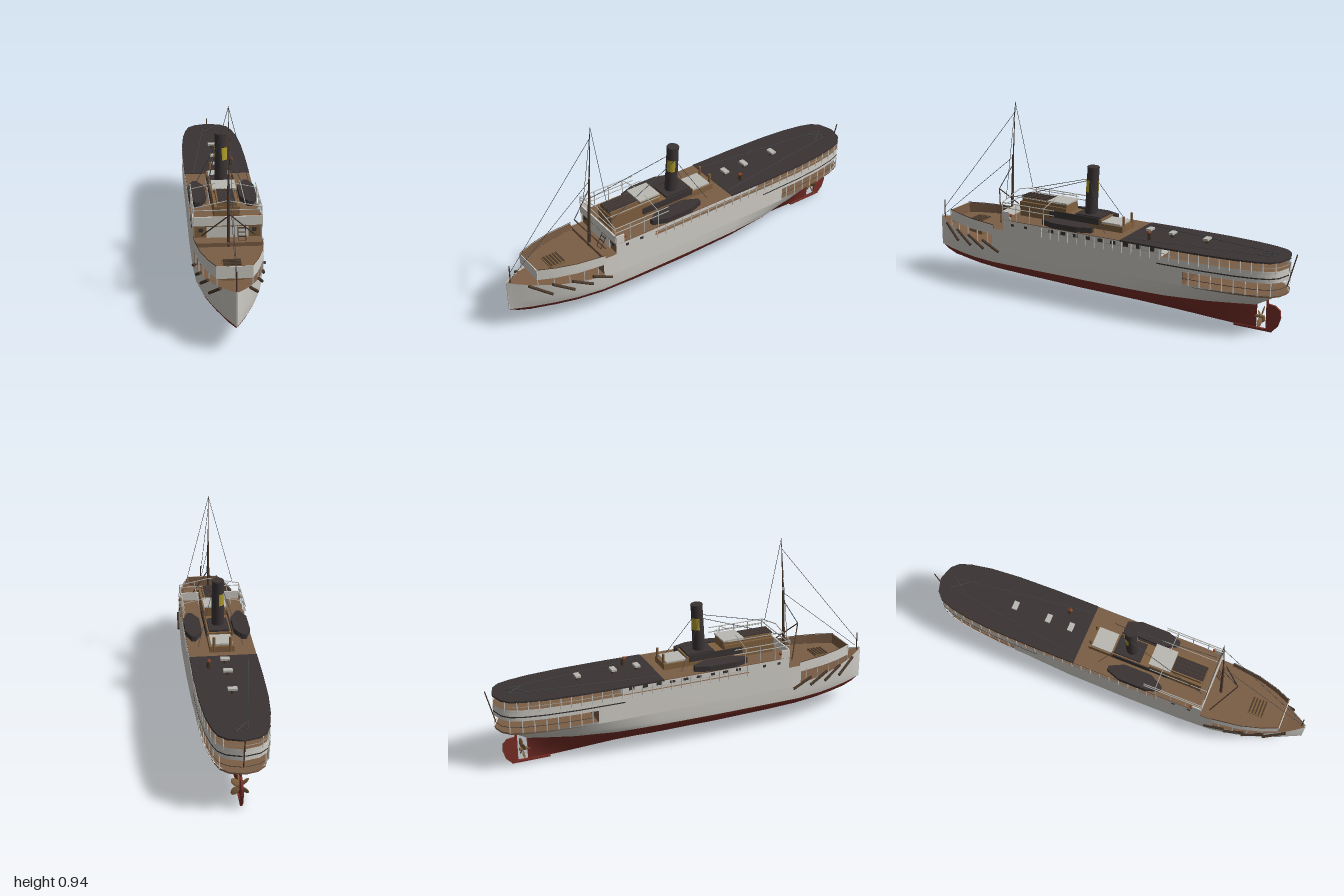
import * as THREE from 'three';

const mat = (name, color) => Object.assign(new THREE.MeshStandardMaterial({ color, side: THREE.DoubleSide }), { name });
const M = {
  white: mat('hull white', 0xd2cfc8), red: mat('bottom red', 0x7a2f28), deck: mat('deck brown', 0x7b5d45),
  wood: mat('varnished wood', 0x80603f), dark: mat('charcoal', 0x3a3334), timber: mat('dark timber', 0x4c3b2e),
  yellow: mat('funnel yellow', 0xb09c2c), wire: mat('rigging grey', 0x45464a), grey: mat('pale grey', 0xb9b8b2),
  orange: mat('vent orange', 0x9c4526),
};

// Half breadth of the deck along the length
const PLAN = [[1, .003], [.96, .032], [.9, .068], [.8, .11], [.7, .138], [.57, .155], [.4, .16], [-.4, .16],
  [-.6, .155], [-.75, .143], [-.85, .125], [-.91, .105], [-.945, .07], [-.965, .002]];
function beam(z) {
  for (let i = 1; i < PLAN.length; i++) {
    const a = PLAN[i - 1], b = PLAN[i];
    if (z >= b[0]) return a[1] + (b[1] - a[1]) * Math.min(1, (a[0] - z) / (a[0] - b[0]));
  }
  return .002;
}
const foreTop = z => .215 + .07 * Math.pow(Math.max(0, (z - .5) / .5), 1.4);
const samples = (z0, z1) => [...new Set([z0, ...PLAN.map(p => p[0]).filter(z => z < z0 && z > z1), z1])];

export function createModel() {
  const ship = new THREE.Group();
  ship.name = 'steamship';
  const add = (name, geo, m, parent = ship) => {
    const mesh = new THREE.Mesh(geo, m);
    mesh.name = name;
    parent.add(mesh);
    return mesh;
  };
  const box = (name, m, x0, x1, y0, y1, z0, z1) => {
    const b = add(name, new THREE.BoxGeometry(x1 - x0, y1 - y0, z1 - z0), m);
    b.position.set((x0 + x1) / 2, (y0 + y1) / 2, (z0 + z1) / 2);
  };
  const rod = (name, m, a, b, r = .0012, sides = 5, r2 = r) => {
    const p = new THREE.Vector3(...a), q = new THREE.Vector3(...b), d = q.clone().sub(p);
    const mesh = add(name, new THREE.CylinderGeometry(r2, r, d.length(), sides), m);
    mesh.position.copy(p).add(q).multiplyScalar(.5);
    mesh.quaternion.setFromUnitVectors(new THREE.Vector3(0, 1, 0), d.normalize());
  };
  // Surface through equal-length rows of points
  const loft = (name, m, rows) => {
    const n = rows[0].length, idx = [];
    for (let i = 0; i < rows.length - 1; i++) for (let j = 0; j < n - 1; j++) {
      const a = i * n + j;
      idx.push(a, a + n, a + 1, a + 1, a + n, a + n + 1);
    }
    const g = new THREE.BufferGeometry();
    g.setAttribute('position', new THREE.Float32BufferAttribute(rows.flat(2), 3));
    g.setIndex(idx);
    g.computeVertexNormals();
    add(name, g, m);
  };
  // Side plating that follows the deck outline on both sides
  const ribbon = (name, m, z0, z1, y0, y1, off = 0) => {
    const f = v => (typeof v === 'function' ? v : () => v);
    for (const s of [1, -1]) loft(name, m, samples(z0, z1).map(z => {
      const x = s * (beam(z) + off);
      return s > 0 ? [[x, f(y0)(z), z], [x, f(y1)(z), z]] : [[x, f(y1)(z), z], [x, f(y0)(z), z]];
    }));
  };
  // Flat slab from plan points [x, z] with its top at y
  const slab = (name, m, pts, y, t) => {
    const shape = new THREE.Shape(pts.map(([x, z]) => new THREE.Vector2(x, -z)));
    const g = new THREE.ExtrudeGeometry(shape, { depth: t, bevelEnabled: false }).rotateX(-Math.PI / 2);
    add(name, g, m).position.y = y - t;
  };
  const deck = (name, m, z0, z1, y, t = .006, off = 0) => {
    const zs = samples(z0, z1);
    slab(name, m, [...zs.map(z => [beam(z) + off, z]), ...zs.slice().reverse().map(z => [-beam(z) - off, z])], y, t);
  };

  // Hull stations: z, waterline half breadth, waterline y, bilge control x, bilge control y, keel y
  const ST = [[1, .001, .125, .001, .122, .12], [.96, .02, .125, .012, .107, .1], [.9, .05, .127, .035, .095, .078],
    [.8, .09, .13, .075, .088, .072], [.7, .122, .133, .105, .083, .067], [.57, .148, .137, .13, .08, .061],
    [.4, .156, .14, .142, .078, .054], [.1, .157, .14, .142, .074, .04], [-.2, .153, .14, .12, .07, .03],
    [-.4, .138, .137, .075, .064, .022], [-.6, .092, .133, .03, .06, .014], [-.72, .047, .13, .01, .055, .01],
    [-.81, .01, .128, .006, .06, .008], [-.87, .005, .16, 0, 0, 0], [-.92, .005, .192, 0, 0, 0], [-.965, .001, .217, 0, 0, 0]];
  const steps = [0, .17, .34, .5, .67, .84, 1];
  for (const s of [1, -1]) {
    const order = r => (s > 0 ? r : r.reverse());
    loft('hullBottom', M.red, ST.slice(0, 13).map(([z, w, yw, cx, cy, ky]) => order(steps.map(t => {
      const u = 1 - t;
      return [s * (2 * u * t * cx + t * t * w), u * u * ky + 2 * u * t * cy + t * t * yw, z - (z > .99 ? u * .015 : 0)];
    }))));
    loft('hullSide', M.white, ST.map(([z, w, yw]) => order(steps.map(t => {
      const top = z > .56 ? foreTop(z) : .22;
      return [s * (w + (beam(z) - w) * Math.pow(t, z < -.5 ? .75 : .65)), yw + (top - yw) * t, z];
    }))));
  }
  box('stemBar', M.white, -.003, .003, .125, .285, .994, 1);
  ribbon('midshipPlating', M.white, .57, -.5, .21, .32);
  ribbon('galleryUpperStrake', M.white, -.5, -.965, .278, .32);
  ribbon('rubbingStrake', M.dark, -.37, -.965, .297, .303, .004);

  // Rudder, shoe and propeller
  box('keelShoe', M.red, -.006, .006, .003, .014, -.89, -.7);
  const blade = new THREE.Shape([[.862, .004], [.89, .006], [.918, .035], [.932, .08], [.928, .115], [.905, .135], [.862, .14]]
    .map(p => new THREE.Vector2(...p)));
  add('rudder', new THREE.ExtrudeGeometry(blade, { depth: .01, bevelEnabled: false }).rotateY(Math.PI / 2), M.red).position.x = -.005;
  rod('rudderStock', M.red, [0, .01, -.864], [0, .18, -.864], .006);
  rod('propellerShaft', M.wood, [0, .07, -.7], [0, .07, -.85], .008, 8);
  for (let i = 0; i < 4; i++) {
    const a = Math.PI / 4 + i * Math.PI / 2;
    const p = add('propellerBlade', new THREE.SphereGeometry(.025, 10, 6).scale(.6, 1, .15), M.wood);
    p.position.set(Math.sin(a) * .03, .07 + Math.cos(a) * .03, -.835);
    p.rotation.set(0, .5, -a, 'ZYX');
  }

  // Decks: the lower foredeck follows the rise of the bow, the upper one lies inside the band
  loft('lowerForedeck', M.deck, samples(.992, .5).map(z => [-1, 0, 1].map(k => [k * (beam(z) - .002), foreTop(z) - .006, z])));
  deck('upperForedeck', M.deck, .878, .5, .298, .008, -.003);
  deck('galleryDeck', M.deck, -.48, -.96, .215, .008, -.006);
  deck('promenadeDeck', M.deck, .56, -.96, .318, .008, -.003);
  deck('boatDeck', M.deck, .5, -.17, .378);
  deck('aftAwning', M.dark, -.17, -.964, .38, .008, .001);
  box('foreBulkhead', M.deck, -.154, .154, .21, .318, .55, .558);
  box('aftBulkhead', M.deck, -.155, .155, .21, .315, -.5, -.492);

  // Forecastle band with its brown lining, posts and the open bow fittings
  const bandLow = z => .288 + .02 * (z - .57), bandTop = z => .338 + .04 * (z - .57);
  ribbon('bowBand', M.white, .88, .56, bandLow, bandTop, .002);
  ribbon('bowBandLining', M.deck, .878, .56, bandLow, bandTop, -.002);
  ribbon('bowBandCap', M.timber, .88, .56, bandTop, z => bandTop(z) + .003, .001);
  box('bowBandFront', M.white, -.08, .08, .294, .35, .878, .882);
  box('bowBandFrontLining', M.deck, -.078, .078, .294, .35, .874, .877);
  for (const s of [1, -1]) {
    for (let z = .6; z < .9; z += .07) rod('bandPost', M.grey, [s * beam(z), foreTop(z), z], [s * beam(z), .3, z], .003);
    // Timber fenders lying along the bow
    for (const z of [.92, .82, .73, .63]) {
      const e = z - .1;
      rod('fenderLog', M.timber, [s * (beam(z) + .008), .268 - (.92 - z) * .07, z], [s * (beam(e) + .003), .2, e], .007, 8);
    }
  }
  box('hatchTrunk', M.wood, -.045, .045, .215, .304, .71, .79);
  for (let i = 0; i < 5; i++) box('hatchSlat', M.timber, -.04, .04, .304, .308, .712 + i * .016, .72 + i * .016);
  rod('jackstaff', M.timber, [0, .25, .98], [0, .37, .978], .003);

  // Promenade: house, windows, open rail posts
  box('promenadeHouse', M.white, -.118, .118, .318, .372, -.37, .49);
  box('houseFront', M.wood, -.15, .15, .318, .372, .488, .494);
  box('houseFrontPanel', M.white, -.095, .095, .318, .372, .493, .498);
  ribbon('promenadeScreen', M.white, .5, .28, .318, .372);
  ribbon('promenadeRail', M.white, .28, -.963, .318, .334, -.001);
  ribbon('promenadeHandrail', M.grey, .28, -.963, .349, .352);
  ribbon('galleryRail', M.wire, -.5, -.963, .245, .248);
  ribbon('awningEdge', M.white, .5, -.17, .37, .376, .002);
  ribbon('awningHem', M.dark, -.17, -.964, .372, .38, .002);
  for (const s of [1, -1]) {
    for (let z = .27; z > -.95; z -= .05) rod('promenadePost', M.white, [s * beam(z), .318, z], [s * beam(z), .374, z], .0028);
    for (let z = -.53; z > -.95; z -= .055) rod('galleryPost', M.white, [s * beam(z), .215, z], [s * beam(z), .282, z], .0028);
    for (let z = .24; z > -.33; z -= .07) box('houseWindow', M.dark, s * .1195 - .0015, s * .1195 + .0015, .336, .362, z - .013, z + .013);
    for (const z of [.44, .36]) box('screenWindow', M.dark, s * .161 - .0015, s * .161 + .0015, .35, .362, z - .008, z + .008);
    box('frontWindow', M.dark, s * .122 - .01, s * .122 + .01, .345, .362, .493, .496);
    // Ridge wires on the awning, closing in toward the stern
    rod('awningRidge', M.wire, [s * .12, .382, -.18], [s * .03, .382, -.88], .002);
    rod('sternBrace', M.wire, [s * .03, .384, -.82], [-s * .03, .384, -.9], .003);
  }
  for (let i = 0; i < 4; i++) box('ladderRung', M.timber, .045, .08, .315 + i * .017, .319 + i * .017, .535 - i * .009, .54 - i * .009);
  for (const x of [.045, .08]) rod('ladderSide', M.timber, [x, .298, .55], [x, .38, .505], .002);

  // Bridge
  box('bridgeDodger', M.white, -.157, .157, .377, .42, .495, .502);
  for (const s of [1, -1]) {
    box('bridgeWingSide', M.white, s * .157 - .003, s * .157 + .003, .377, .42, .455, .5);
    for (const z of [.5, .42, .34, .26]) rod('bridgeRailPost', M.grey, [s * .155, .378, z], [s * .155, .465, z], .0025);
    for (const y of [.44, .465]) rod('bridgeRail', M.grey, [s * .155, y, .5], [s * .155, y, .2], .0025);
    rod('bridgeSpan', M.grey, [s * .155, .465, .5], [0, .497, .5], .0025);
    rod('bridgeSpanAft', M.grey, [s * .155, .465, .26], [s * .04, .49, .26], .002);
    rod('bridgeAwningRail', M.grey, [s * .08, .48, .5], [s * .08, .48, .2], .002);
  }
  rod('bridgeFrontRail', M.grey, [-.155, .452, .5], [.155, .452, .5], .0025);
  box('chartHouse', M.wood, -.058, .058, .378, .452, .19, .46);
  box('wheelHouse', M.wood, -.045, .045, .45, .472, .3, .455);
  box('skylight', M.dark, -.038, .038, .472, .476, .3, .46);
  for (const x of [-.02, 0, .02]) box('skylightBar', M.timber, x - .002, x + .002, .475, .479, .3, .46);
  box('chartHouseRoof', M.grey, -.056, .056, .47, .478, .185, .297);
  box('chartHouseUpper', M.wood, -.05, .05, .45, .47, .19, .29);

  // Funnel with painted quarters
  box('boilerCasing', M.wood, -.06, .06, .378, .425, -.01, .19);
  box('casingTop', M.dark, -.05, .05, .425, .435, 0, .14);
  for (const s of [1, -1]) box('casingSide', M.dark, s * .062 - .003, s * .062 + .003, .4, .433, 0, .285);
  const funnel = new THREE.Group();
  funnel.name = 'funnel';
  funnel.position.set(0, .425, .08);
  funnel.rotation.x = -.06;
  ship.add(funnel);
  add('funnelTube', new THREE.CylinderGeometry(.029, .031, .247, 24), M.dark, funnel).position.y = .1235;
  add('funnelRim', new THREE.TorusGeometry(.029, .002, 6, 24).rotateX(Math.PI / 2), M.dark, funnel).position.y = .243;
  for (const a of [.1, Math.PI + .1])
    add('funnelMark', new THREE.CylinderGeometry(.0308, .0312, .062, 12, 1, true, a, 1.4), M.yellow, funnel).position.y = .15;
  for (const s of [1, -1]) {
    rod('funnelStayFore', M.wire, [s * .028, .605, .08], [s * .1, .48, .48], .0015);
    rod('funnelStayAft', M.wire, [s * .028, .605, .07], [s * .11, .378, -.06], .0012);
  }

  // Low dark side covers, eight-sided in plan
  for (const s of [1, -1]) slab('sideCover', M.dark, [[.16, .07], [.16, .21], [.135, .28], [.115, .28], [.08, .21], [.08, .07], [.115, 0], [.135, 0]]
    .map(([x, z]) => [s * x, z]), .405, .027);

  // After casing and deck ventilators
  box('engineCasing', M.wood, -.06, .06, .378, .408, -.13, 0);
  box('engineSkylight', M.grey, -.052, .052, .408, .416, -.115, -.005);
  for (const x of [-.04, .04]) rod('ventPipe', M.wood, [x, .378, -.125], [x, .455, -.125], .007, 8);
  for (const z of [-.25, -.37, -.55]) {
    rod('ventStem', M.timber, [0, .378, z], [0, .4, z], .008, 8);
    box('ventCap', M.grey, -.022, .022, .398, .408, z - .013, z + .013);
  }
  rod('sideVent', M.timber, [.08, .378, -.29], [.08, .412, -.29], .012, 8);
  add('ventMouth', new THREE.SphereGeometry(.009, 10, 8), M.orange).position.set(.08, .412, -.284);
  for (const s of [1, -1])
    add('bridgeLamp', new THREE.SphereGeometry(.008, 8, 6), M.orange).position.set(s * .157, .405, .45);

  // Masts and rigging
  rod('mast', M.timber, [0, .29, .553], [0, .67, .535], .008, 10, .005);
  rod('topmast', M.timber, [0, .66, .535], [0, .945, .515], .0035, 6, .0012);
  rod('ensignStaff', M.timber, [0, .24, -.955], [0, .4, -.998], .003);
  rod('foreStay', M.wire, [0, .89, .52], [0, .33, .978]);
  rod('lowerForeStay', M.wire, [0, .66, .535], [0, .3, .97]);
  rod('boomTopping', M.wire, [0, .48, .625], [0, .62, .537], .002);
  for (const s of [1, -1]) {
    rod('mastStay', M.wire, [0, .94, .515], [s * .122, .475, .5]);
    rod('derrick', M.timber, [0, .48, .625], [s * .12, .345, .535], .003);
  }
  return ship;
}
